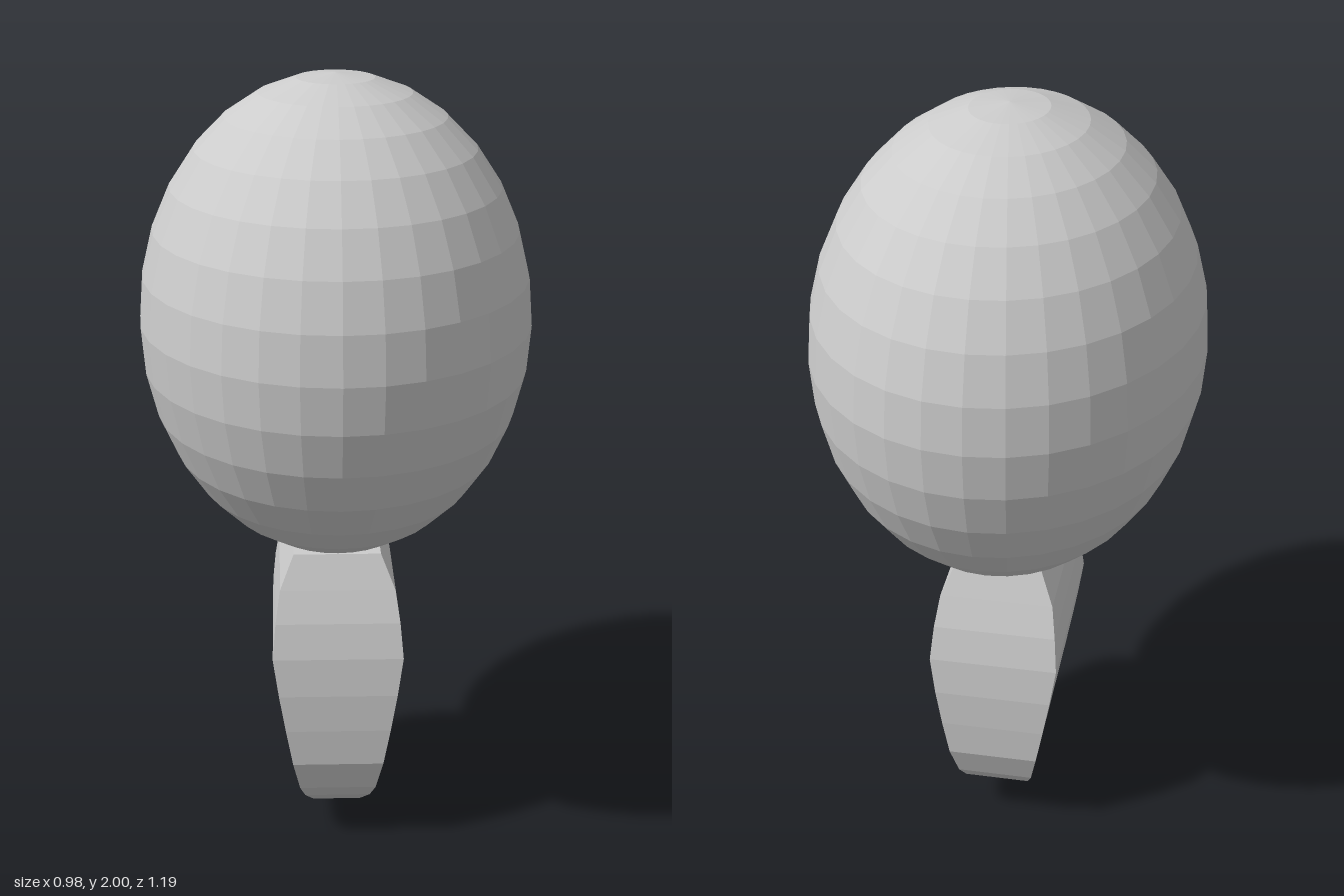
import * as THREE from 'three';

export function createModel() {
  const model = new THREE.Group();
  const material = new THREE.MeshStandardMaterial({ color: 0xcccccc, flatShading: true });

  // Faceted egg-shaped head
  const head = new THREE.Mesh(new THREE.SphereGeometry(1, 32, 16), material);
  head.name = 'head';
  head.scale.set(0.492, 0.605, 0.597);
  head.position.y = 1.395;
  model.add(head);

  // Body: rectangular cross-sections [y, half width, half depth], top to bottom
  const sections = [
    [0.805, 0.112, 0.163],
    [0.72, 0.148, 0.2],
    [0.64, 0.16, 0.232],
    [0.55, 0.168, 0.255],
    [0.45, 0.153, 0.266],
    [0.35, 0.136, 0.268],
    [0.25, 0.118, 0.264],
    [0.16, 0.1, 0.23],
    [0.12, 0.086, 0.2],
    [0.065, 0.063, 0.128],
    [0.0, 0, 0],
  ];
  const rows = sections.length - 1;
  // Four-sided column whose corners sit at x, z = +-1 before shaping
  const bodyGeometry = new THREE.CylinderGeometry(Math.SQRT2, Math.SQRT2, 1, 4, rows, false, Math.PI / 4);
  const p = bodyGeometry.attributes.position;
  for (let i = 0; i < p.count; i++) {
    const [y, halfWidth, halfDepth] = sections[Math.round((0.5 - p.getY(i)) * rows)];
    p.setXYZ(i, p.getX(i) * halfWidth, y, p.getZ(i) * halfDepth);
  }
  bodyGeometry.computeVertexNormals();
  const body = new THREE.Mesh(bodyGeometry, material);
  body.name = 'body';
  model.add(body);

  return model;
}
